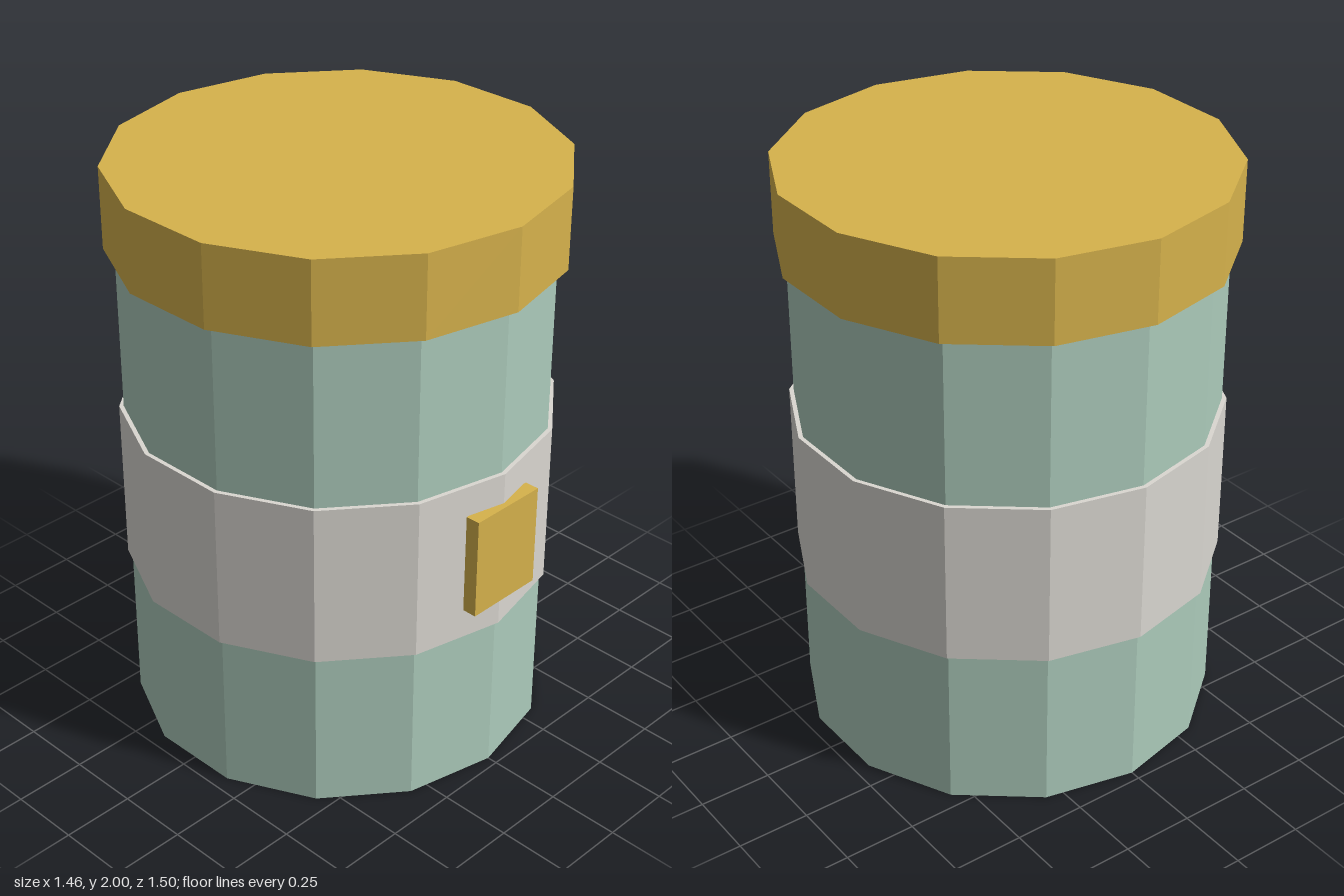
import * as THREE from 'three';

const SIDES = 14;
const material = (color) => new THREE.MeshStandardMaterial({ color, flatShading: true });

export function createModel() {
  const model = new THREE.Group();
  model.name = 'canister';

  const gold = material(0xd6b24c);
  const green = material(0xaccbbb);
  const cream = material(0xdad7d1);

  // Faceted drum standing between two heights
  function drum(name, radius, bottom, top, mat) {
    const geometry = new THREE.CylinderGeometry(radius, radius, top - bottom, SIDES);
    const mesh = new THREE.Mesh(geometry, mat);
    mesh.name = name;
    mesh.position.y = (bottom + top) / 2;
    model.add(mesh);
  }

  drum('body', 0.715, 0, 1.73, green);
  drum('labelBand', 0.73, 0.575, 1.145, cream);
  drum('lid', 0.75, 1.72, 2, gold);

  // Small plate on the front of the band
  const plate = new THREE.Mesh(new THREE.BoxGeometry(0.285, 0.355, 0.05), gold);
  plate.name = 'frontPlate';
  plate.position.set(0, 0.86, 0.725);
  model.add(plate);

  return model;
}
